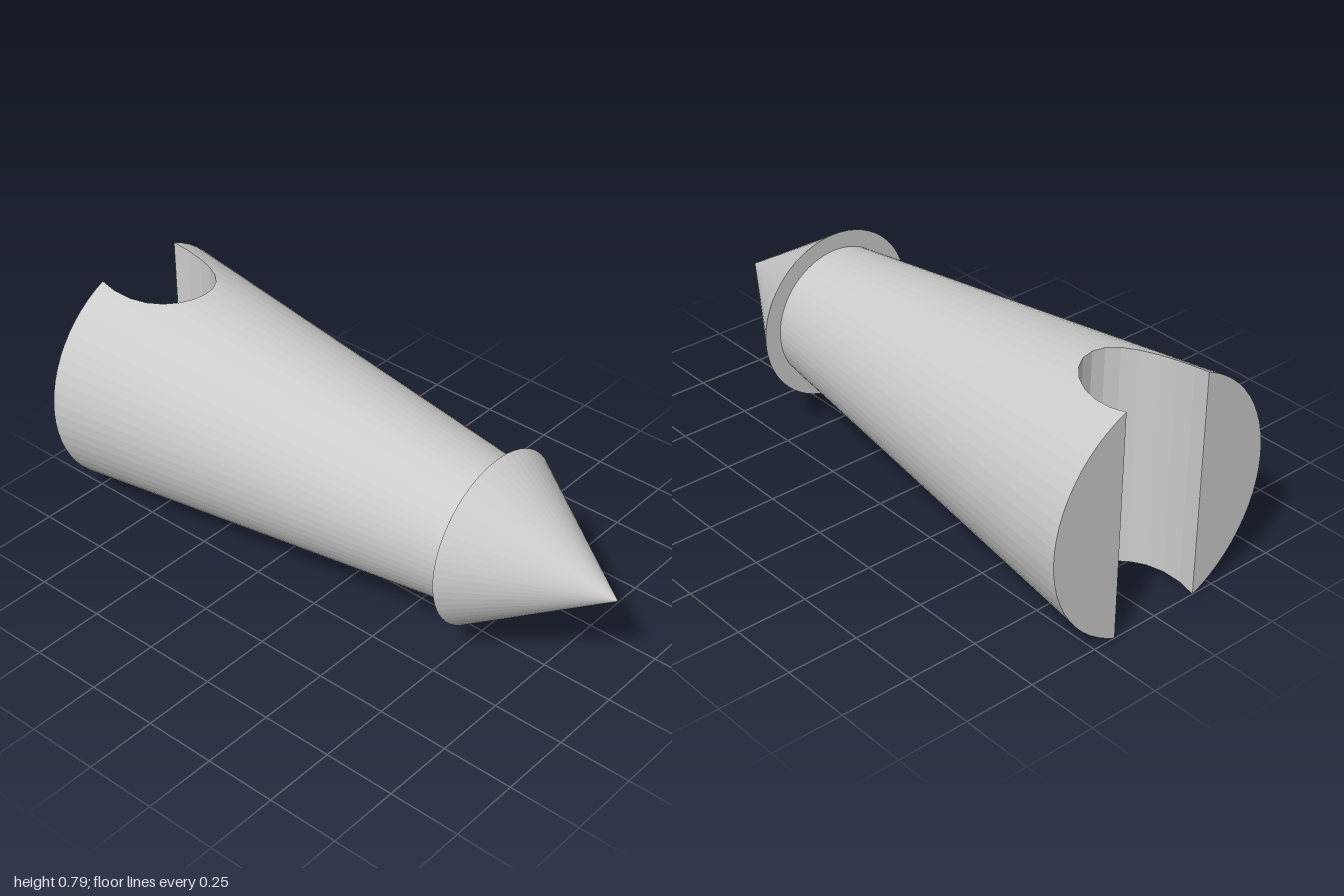
import * as THREE from 'three';

const AXIS_Y = 0.396;
const SIDES = 64;
const FRONT_Z = 0.53, BACK_Z = -1;
const NOTCH = { z: -0.94, halfWidth: 0.172, depth: 0.25 };

const radiusAt = (z) => 0.24 + 0.19 * (FRONT_Z - z) / (FRONT_Z - BACK_Z);

// Cross-section of one half: an arc from top to bottom, cut flat at x = halfWidth
function section(z, halfWidth) {
  const r = radiusAt(z);
  const cut = Math.asin(halfWidth / r);
  const points = [];
  for (let k = 0; k <= SIDES / 2; k++) {
    const a = Math.min(Math.max(k * 2 * Math.PI / SIDES, cut), Math.PI - cut);
    points.push(new THREE.Vector3(r * Math.sin(a), r * Math.cos(a), z));
  }
  return points;
}

// One half of the tapered body with its half of the notch; side is 1 or -1
function halfBody(side) {
  const sections = [section(FRONT_Z, 0)];
  for (let i = 0; i <= 6; i++) {
    const t = i * Math.PI / 12;
    sections.push(section(NOTCH.z + NOTCH.depth * Math.cos(t), NOTCH.halfWidth * Math.sin(t)));
  }
  const end = Math.acos((BACK_Z - NOTCH.z) / NOTCH.depth);
  sections.push(section(BACK_Z, NOTCH.halfWidth * Math.sin(end)));

  const positions = [];
  const triangle = (a, b, c) => {
    if (new THREE.Triangle(a, b, c).getArea() < 1e-9) return;
    for (const p of side > 0 ? [a, b, c] : [a, c, b]) positions.push(side * p.x, p.y, p.z);
  };

  const count = sections[0].length;
  for (let j = 0; j < sections.length - 1; j++) {
    const near = sections[j], far = sections[j + 1];
    // The last step closes the loop and forms the notch wall
    const steps = j === 0 ? count - 1 : count;
    for (let k = 0; k < steps; k++) {
      const n = (k + 1) % count;
      triangle(near[k], near[n], far[k]);
      triangle(near[n], far[n], far[k]);
    }
  }

  // Flat back end
  const back = sections[sections.length - 1];
  for (let k = 1; k < count - 1; k++) triangle(back[0], back[k], back[k + 1]);

  const geometry = new THREE.BufferGeometry();
  geometry.setAttribute('position', new THREE.Float32BufferAttribute(positions, 3));
  geometry.computeVertexNormals();
  return geometry;
}

export function createModel() {
  const model = new THREE.Group();
  model.name = 'notchedDart';
  const material = new THREE.MeshStandardMaterial({ color: 0xcccccc, flatShading: true });

  // Tapered body, split by the notch at the back
  const body = new THREE.Group();
  body.name = 'body';
  body.position.y = AXIS_Y;
  for (const [side, name] of [[1, 'bodyLeft'], [-1, 'bodyRight']]) {
    const half = new THREE.Mesh(halfBody(side), material);
    half.name = name;
    body.add(half);
  }
  model.add(body);

  // Pointed tip, wider than the body's front end
  const tipLength = 1 - FRONT_Z;
  const tip = new THREE.Mesh(
    new THREE.ConeGeometry(0.3, tipLength, SIDES).rotateX(Math.PI / 2), material);
  tip.name = 'tip';
  tip.position.set(0, AXIS_Y, FRONT_Z + tipLength / 2);
  model.add(tip);

  return model;
}
